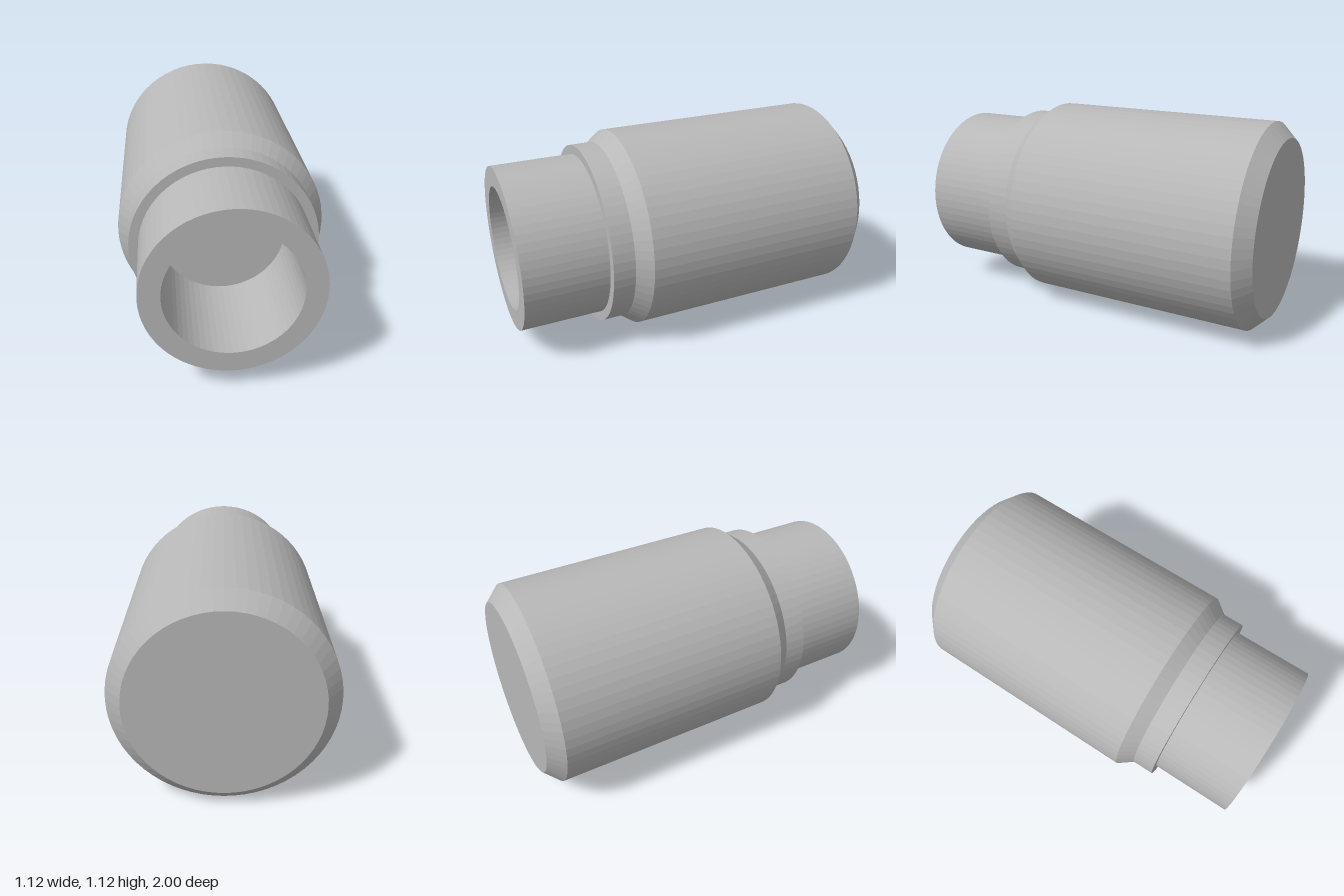
import * as THREE from 'three';

const SEGMENTS = 64;
const RADIUS = 0.56;

export function createModel() {
  const group = new THREE.Group();
  group.name = 'steppedSleeve';

  const grey = new THREE.MeshStandardMaterial({ color: 0xb8b8b8, flatShading: true });
  grey.name = 'grey';

  // Turns a [radius, z] profile, listed from back to front, around the z axis
  function addTurned(name, profile) {
    const points = profile.map(([r, z]) => new THREE.Vector2(r, z));
    const geometry = new THREE.LatheGeometry(points, SEGMENTS);
    geometry.rotateX(Math.PI / 2);
    const mesh = new THREE.Mesh(geometry, grey);
    mesh.name = name;
    mesh.position.y = RADIUS;
    group.add(mesh);
  }

  // Main barrel with a closed back and a chamfer at both ends
  addTurned('barrel', [[0, -1], [0.48, -1], [RADIUS, -0.92], [RADIUS, 0.35], [0.5, 0.43]]);

  // Short collar with its front step
  addTurned('collar', [[0.5, 0.43], [0.5, 0.55], [0.45, 0.55]]);

  // Neck with its front rim
  addTurned('neck', [[0.45, 0.55], [0.45, 1], [0.34, 1]]);

  // Blind bore with a flat floor
  addTurned('bore', [[0.34, 1], [0.34, 0.43], [0, 0.43]]);

  return group;
}
